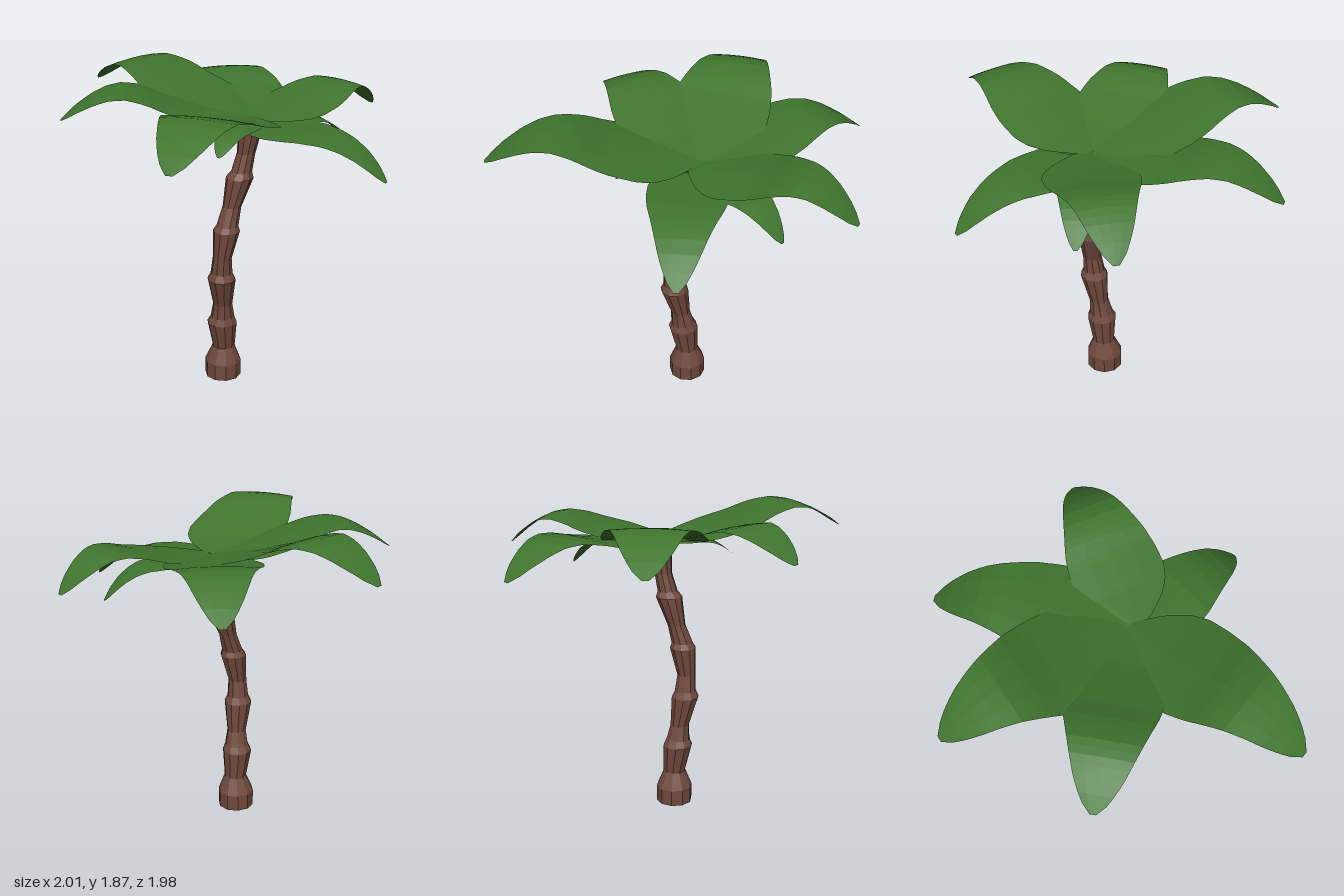
import * as THREE from 'three';

const bark = new THREE.MeshStandardMaterial({ color: 0x70493c, flatShading: true });
const green = new THREE.MeshStandardMaterial({ color: 0x3f752e, flatShading: true, side: THREE.DoubleSide });

// Trunk rings from the ground up: [y, radius, centre x, centre z]
const rings = [
  [0, 0.11, -0.06, 0.08], [0.1, 0.11, -0.06, 0.08], [0.2, 0.068, -0.06, 0.085],
  [0.37, 0.09, -0.08, 0.09], [0.41, 0.072, -0.08, 0.095], [0.5, 0.058, -0.09, 0.105],
  [0.68, 0.084, -0.12, 0.125], [0.72, 0.065, -0.12, 0.125], [0.82, 0.056, -0.125, 0.135],
  [0.99, 0.079, -0.1, 0.145], [1.02, 0.064, -0.095, 0.148], [1.13, 0.054, -0.06, 0.15],
  [1.3, 0.08, -0.012, 0.165], [1.335, 0.06, -0.002, 0.17], [1.44, 0.053, 0.025, 0.178],
  [1.63, 0.073, 0.05, 0.195],
];

function makeTrunk() {
  const n = rings.length - 1;
  const geo = new THREE.CylinderGeometry(1, 1, 1, 10, n);
  const p = geo.attributes.position;
  for (let i = 0; i < p.count; i++) {
    const [y, r, cx, cz] = rings[Math.round((p.getY(i) + 0.5) * n)];
    p.setXYZ(i, p.getX(i) * r + cx, y, p.getZ(i) * r + cz);
  }
  geo.computeVertexNormals();
  const mesh = new THREE.Mesh(geo, bark);
  mesh.name = 'trunk';
  return mesh;
}

// Straight-line lookup in a list of [t, value] pairs
function sample(table, t) {
  let i = 1;
  while (i < table.length - 1 && table[i][0] < t) i++;
  const [t0, a] = table[i - 1], [t1, b] = table[i];
  return a + ((b - a) * (t - t0)) / (t1 - t0);
}

// Outline shared by every leaf, as a share of its half width
const outline = [[0, 0.15], [0.06, 0.45], [0.13, 0.72], [0.2, 0.9], [0.28, 1], [0.4, 0.98], [0.51, 0.9],
  [0.62, 0.76], [0.74, 0.61], [0.85, 0.46], [0.93, 0.3], [0.97, 0.19], [1, 0.06]];

// Height curves: raised leaves climb then droop, low leaves run flat then droop
const raised = (base, peak, tip) => [
  [0, base], [0.22, base + (peak - base) * 0.24], [0.44, base + (peak - base) * 0.6],
  [0.56, base + (peak - base) * 0.88], [0.66, peak], [0.74, peak - (peak - tip) * 0.05],
  [0.82, peak - (peak - tip) * 0.24], [0.91, peak - (peak - tip) * 0.57], [1, tip]];
const low = (base, tip) => [
  [0, base], [0.5, base], [0.64, base - (base - tip) * 0.07], [0.74, base - (base - tip) * 0.2],
  [0.84, base - (base - tip) * 0.42], [0.92, base - (base - tip) * 0.68], [1, tip]];

function makeLeaf(name, [bx, bz], [tx, tz], halfWidth, heights) {
  const rows = 24, cols = 4;
  const geo = new THREE.PlaneGeometry(1, 1, cols, rows);
  const p = geo.attributes.position;
  const dir = new THREE.Vector2(tx - bx, tz - bz);
  const side = dir.clone().normalize();
  for (let i = 0; i < p.count; i++) {
    const t = p.getY(i) + 0.5;
    const across = p.getX(i) * 2;
    const w = across * halfWidth * sample(outline, t);
    // edges hang slightly below the midline
    const y = sample(heights, t) - 0.05 * Math.abs(across * w);
    p.setXYZ(i, bx + dir.x * t - side.y * w, y, bz + dir.y * t + side.x * w);
  }
  geo.computeVertexNormals();
  const mesh = new THREE.Mesh(geo, green);
  mesh.name = name;
  return mesh;
}

export function createModel() {
  const model = new THREE.Group();
  model.name = 'palmTree';
  const crown = new THREE.Group();
  crown.name = 'crown';
  const base = [0.05, 0.16];
  crown.add(
    // Upper whorl of five large leaves
    makeLeaf('backLeaf', base, [-0.07, -0.99], 0.3, raised(1.65, 1.87, 1.69)),
    makeLeaf('backLeftLeaf', [0.05, 0.18], [0.73, -0.68], 0.28, raised(1.645, 1.76, 1.57)),
    makeLeaf('backRightLeaf', base, [-0.78, -0.47], 0.28, raised(1.65, 1.83, 1.67)),
    makeLeaf('frontRightLeaf', base, [-1, 0.635], 0.295, raised(1.65, 1.845, 1.675)),
    makeLeaf('leftLeaf', [0.04, 0.235], [1, 0.32], 0.26, raised(1.645, 1.765, 1.57)),
    // Lower whorl of three smaller leaves
    makeLeaf('lowFrontLeaf', [0.02, 0.13], [0.265, 0.985], 0.225, low(1.622, 1.4)),
    makeLeaf('lowLeftLeaf', [0.04, 0.18], [0.635, 0.43], 0.165, low(1.625, 1.43)),
    makeLeaf('lowRightLeaf', [0.05, 0.19], [-0.365, 0.34], 0.12, low(1.64, 1.54)),
  );
  model.add(makeTrunk(), crown);
  return model;
}
